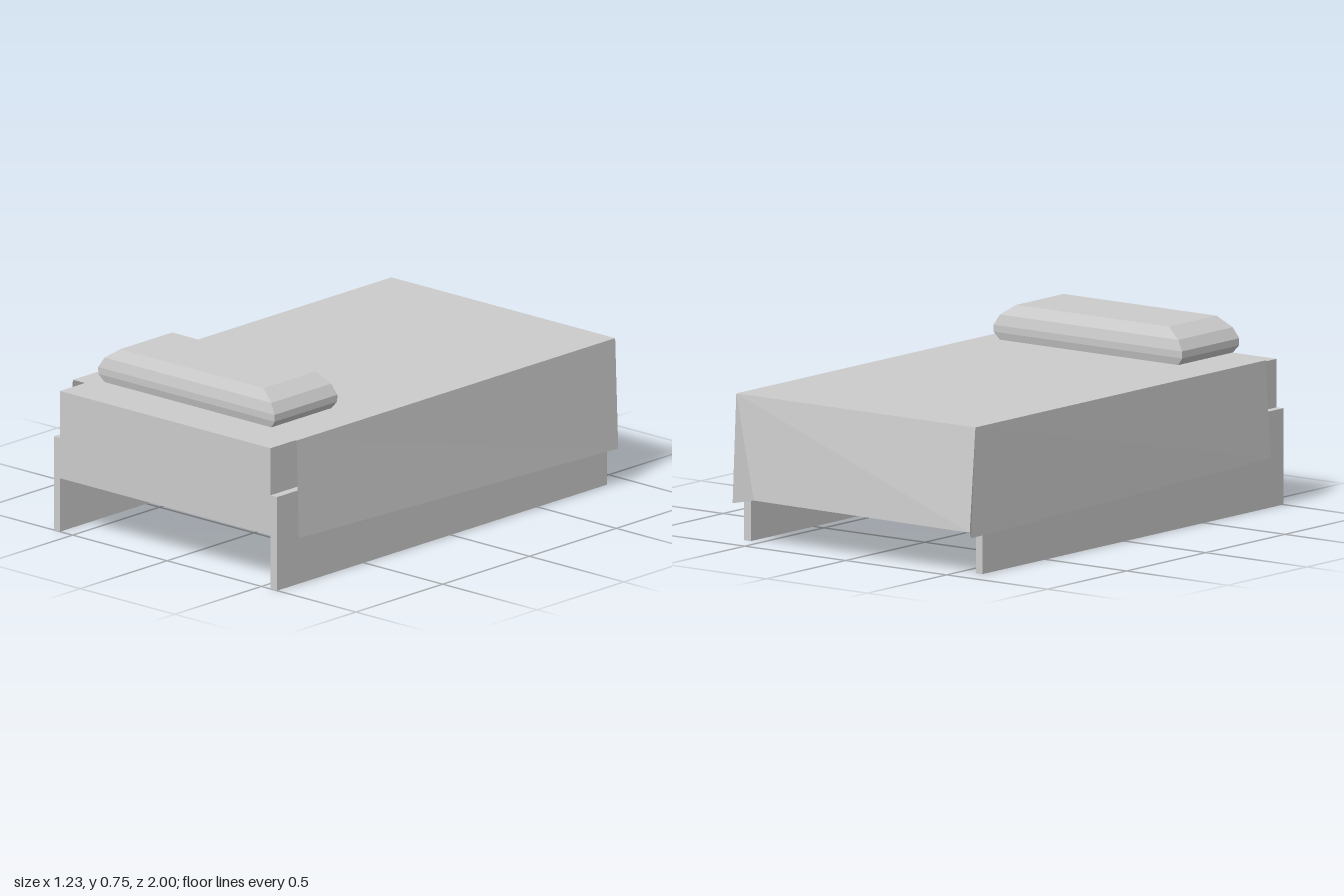
import * as THREE from 'three';

const material = new THREE.MeshStandardMaterial({ color: 0xcccccc, flatShading: true });
const clothMaterial = new THREE.MeshStandardMaterial({
  color: 0xcccccc, flatShading: true, side: THREE.DoubleSide,
});

// Box given by its lower and upper limits on each axis
function boxBetween(name, [x0, x1], [y0, y1], [z0, z1]) {
  const mesh = new THREE.Mesh(new THREE.BoxGeometry(x1 - x0, y1 - y0, z1 - z0), material);
  mesh.position.set((x0 + x1) / 2, (y0 + y1) / 2, (z0 + z1) / 2);
  mesh.name = name;
  return mesh;
}

// Flat-sided geometry from convex faces, each a loop of corners seen from outside
function facesGeometry(faces) {
  const points = [];
  for (const face of faces) {
    for (let i = 1; i < face.length - 1; i++) points.push(...face[0], ...face[i], ...face[i + 1]);
  }
  const geometry = new THREE.BufferGeometry();
  geometry.setAttribute('position', new THREE.Float32BufferAttribute(points, 3));
  geometry.computeVertexNormals();
  return geometry;
}

// Pillow: stacked rectangles of varying size
function createPillow() {
  const profile = [ // height, half width, half depth
    [0, 0.442, 0.172], [0.03, 0.467, 0.18], [0.058, 0.467, 0.181],
    [0.1, 0.442, 0.172], [0.142, 0.379, 0.15],
  ];
  const rings = profile.map(([y, w, d]) => [[-w, y, d], [w, y, d], [w, y, -d], [-w, y, -d]]);
  const faces = [[...rings[0]].reverse(), rings[rings.length - 1]];
  for (let r = 0; r < rings.length - 1; r++) {
    for (let i = 0; i < 4; i++) {
      const j = (i + 1) % 4;
      faces.push([rings[r][i], rings[r][j], rings[r + 1][j], rings[r + 1][i]]);
    }
  }
  const pillow = new THREE.Mesh(facesGeometry(faces), material);
  pillow.position.set(-0.01, 0.605, 0.697);
  pillow.name = 'pillow';
  return pillow;
}

// Blanket: thin sheet over the top, hanging down both sides and the foot end
function createBlanket() {
  const headRight = [-0.6, 0.588, 0.89];
  const headLeft = [0.585, 0.588, 0.89];
  const footLeft = [0.585, 0.588, -0.945];
  const footRight = [-0.6, 0.588, -0.945];
  const hemHeadLeft = [0.615, 0.2, 0.91];
  const hemFootLeft = [0.615, 0.147, -0.93];
  const hemFold = [0.475, 0.18, -0.975];
  const hemFootRight = [-0.615, 0.18, -1];
  const hemCurl = [-0.61, 0.155, -0.985];
  const hemHeadRight = [-0.614, 0.2, 0.9];
  const mesh = new THREE.Mesh(facesGeometry([
    [headRight, headLeft, footLeft, footRight],
    [headLeft, hemHeadLeft, hemFootLeft, footLeft],
    [footLeft, hemFootLeft, hemFold],
    [footLeft, hemFold, hemFootRight, footRight],
    [footRight, hemFootRight, hemCurl],
    [footRight, hemCurl, hemHeadRight, headRight],
  ]), clothMaterial);
  mesh.name = 'blanket';
  return mesh;
}

export function createModel() {
  const bed = new THREE.Group();
  bed.name = 'bed';
  const length = [-0.9, 1];
  bed.add(
    boxBetween('mattress', [-0.567, 0.548], [0.218, 0.574], length),
    boxBetween('rightSideRail', [-0.6, -0.567], [0, 0.382], length),
    boxBetween('leftSideRail', [0.548, 0.583], [0, 0.382], length),
    createBlanket(),
    createPillow(),
  );
  return bed;
}
